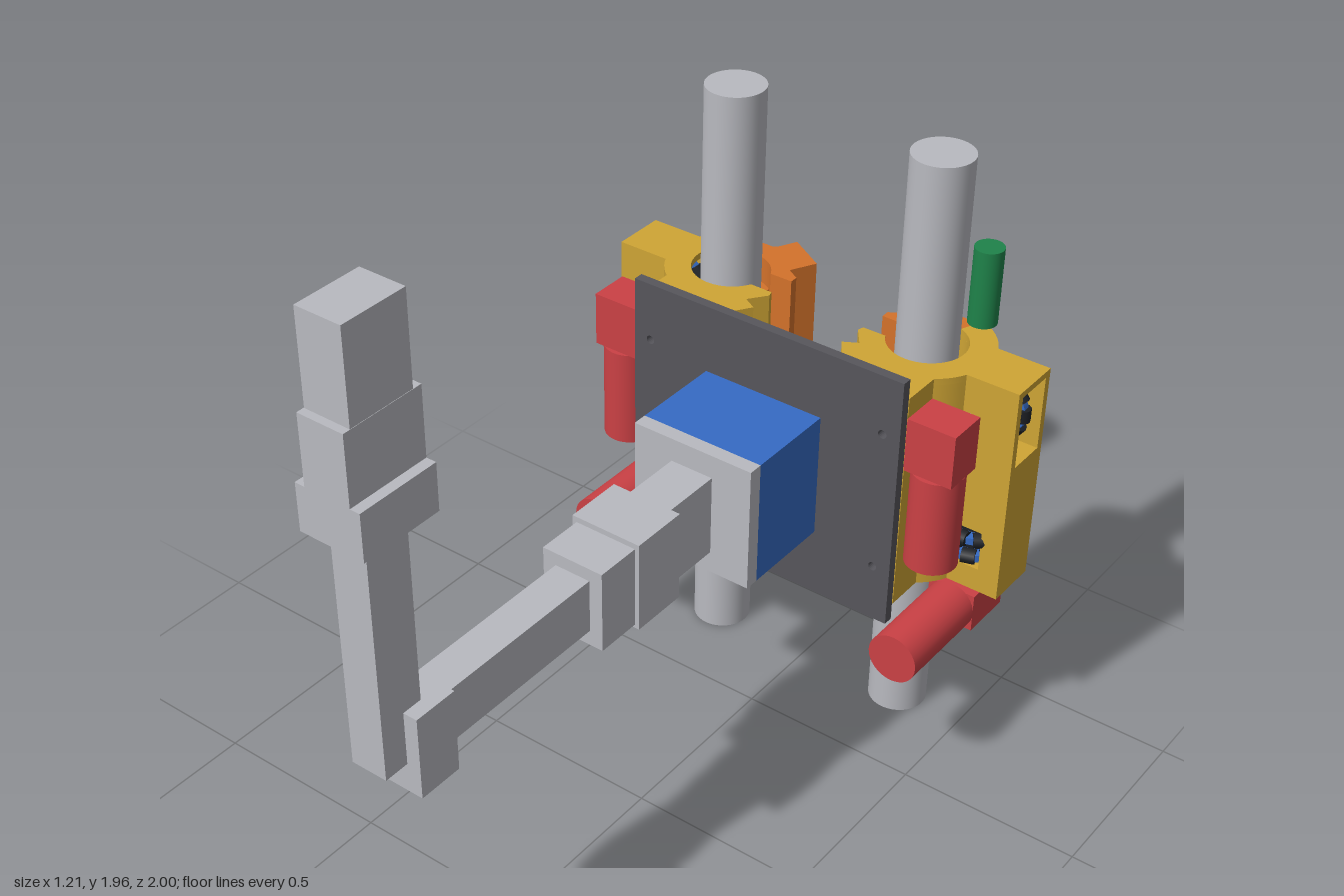
import * as THREE from 'three';
import { toCreasedNormals } from 'three/addons/utils/BufferGeometryUtils.js';

const mat = (name, color) => {
  const m = new THREE.MeshStandardMaterial({ color });
  m.name = name;
  return m;
};
const M = {
  grey: mat('lightGrey', 0xb9bac0),
  steel: mat('steel', 0x96989f),
  dark: mat('darkGrey', 0x57565c),
  blue: mat('blue', 0x366bc4),
  red: mat('red', 0xcb4145),
  yellow: mat('yellow', 0xcfa535),
  orange: mat('orange', 0xd4722b),
  green: mat('green', 0x1f834a),
  black: mat('black', 0x1e2126),
};

const POLE_X = 0.30, POLE_Z = -0.773;
const rad = THREE.MathUtils.degToRad;

function add(parent, name, geo, material, x = 0, y = 0, z = 0) {
  const mesh = new THREE.Mesh(geo, material);
  mesh.name = name;
  mesh.position.set(x, y, z);
  parent.add(mesh);
  return mesh;
}

// Box given by its limits on each axis
function box(parent, name, material, [x0, x1], [y0, y1], [z0, z1]) {
  return add(parent, name, new THREE.BoxGeometry(Math.abs(x1 - x0), y1 - y0, z1 - z0),
    material, (x0 + x1) / 2, (y0 + y1) / 2, (z0 + z1) / 2);
}

function cylinder(parent, name, material, r, length, x, y, z, axis = 'y', sides = 32) {
  const geo = new THREE.CylinderGeometry(r, r, length, sides);
  if (axis === 'z') geo.rotateX(Math.PI / 2);
  if (axis === 'x') geo.rotateZ(Math.PI / 2);
  return add(parent, name, geo, material, x, y, z);
}

// Points on an arc about the pole, angles in degrees
function arc(r, a0, a1) {
  const n = Math.max(1, Math.ceil(Math.abs(a1 - a0) / 6));
  return Array.from({ length: n + 1 }, (_, i) => {
    const a = rad(a0 + (a1 - a0) * i / n);
    return [r * Math.cos(a), r * Math.sin(a)];
  });
}

// Upright prism from a plan outline of [outward, forward] points around a pole
function prism(parent, name, material, s, outline, y0, y1) {
  const shape = new THREE.Shape(outline.map(([u, w]) => new THREE.Vector2(s * u, -w)));
  const geo = new THREE.ExtrudeGeometry(shape, { depth: y1 - y0, bevelEnabled: false });
  geo.rotateX(-Math.PI / 2);
  return add(parent, name, toCreasedNormals(geo, 0.4), material, s * POLE_X, y0, POLE_Z);
}

// Double-row roller wheel, built around the y axis
function rollerWheel(name) {
  const g = new THREE.Group();
  g.name = name;
  cylinder(g, 'wheelHub', M.black, 0.06, 0.1, 0, 0, 0, 'y', 20);
  for (const row of [-1, 1]) {
    const y = row * 0.026;
    cylinder(g, 'wheelDisc', M.blue, 0.09, 0.02, 0, y, 0, 'y', 24);
    for (let i = 0; i < 10; i++) {
      const a = (i + (row > 0 ? 0.5 : 0)) * Math.PI / 5;
      const roller = cylinder(g, 'wheelRoller', M.black, 0.021, 0.036,
        0.079 * Math.cos(a), y, 0.079 * Math.sin(a), 'x', 10);
      roller.rotation.y = Math.PI / 2 - a;
    }
  }
  return g;
}

function gripper(s) {
  const g = new THREE.Group();
  g.name = s > 0 ? 'leftGripper' : 'rightGripper';
  const R = 0.175, r = 0.105;
  const X = u => s * (POLE_X + u), Z = w => POLE_Z + w;

  // Fixed jaw in layers: solid, lower wheel slot, solid, side window, solid
  const wall = [[0.158, 0.075], [0.305, 0.075]];
  const solid = { out: 25, join: [...wall, [0.305, 0]], inn: 0 };
  const slot = { out: 39.5, join: [], inn: 39.5 };
  const windowed = { out: 25, join: [...wall, [0.305, 0.055]], inn: 31.6 };
  const layers = [[0.52, 0.588, solid], [0.588, 0.702, slot], [0.702, 0.92, solid],
    [0.92, 1.127, windowed], [1.127, 1.145, solid]];
  const jawTip = [[-0.16, 0.045], [-0.165, 0.062], [-0.128, 0.112], [-0.166, 0.134], [-0.108, 0.224],
    [-0.04, 0.187], [0.005, 0.175], [0.005, 0.25], [0.105, 0.25]];
  for (const [y0, y1, { out, join, inn }] of layers) {
    prism(g, 'fixedJawFront', M.yellow, s,
      [...jawTip, ...arc(R, 53, out), ...join, ...arc(r, inn, 155)], y0, y1);
    prism(g, 'fixedJawBack', M.yellow, s,
      [...arc(R, -69, -out), ...join.map(([u, w]) => [u, -w]), ...arc(r, -inn, -69)], y0, y1);
  }
  box(g, 'slotOuterWall', M.yellow, [X(0.245), X(0.305)], [0.588, 0.702], [Z(-0.075), Z(0.075)]);

  // Hinged jaw with its clamp plate
  prism(g, 'hingedJaw', M.orange, s, [...arc(0.165, -72, -96), [-0.03, -0.175], [-0.055, -0.225],
    [-0.161, -0.161], [-0.124, -0.09], [-0.16, -0.068], [-0.16, -0.045], ...arc(r, -155, -72)], 0.525, 1.135);
  const plate = new THREE.Group();
  plate.name = 'clampPlate';
  plate.position.set(X(-0.108), 0.83, Z(-0.193));
  plate.rotation.y = s * rad(31);
  add(plate, 'clampPlateFace', new THREE.BoxGeometry(0.07, 0.49, 0.008), M.steel, 0, 0, -0.003);
  for (const y of [-0.2, 0.2])
    cylinder(plate, 'clampBolt', M.dark, 0.009, 0.006, 0, y, -0.007, 'z', 12);
  g.add(plate);

  // Hinge knuckles and motor
  const hx = X(0.061), hz = Z(-0.162);
  for (const [y0, y1, m] of [[0.52, 0.76, M.orange], [0.76, 0.905, M.yellow], [0.905, 1.145, M.orange]])
    cylinder(g, 'hingeKnuckle', m, 0.022, y1 - y0, hx, (y0 + y1) / 2, hz);
  cylinder(g, 'hingePin', M.steel, 0.01, 0.64, hx, 0.83, hz);
  cylinder(g, 'hingeMotor', M.green, 0.039, 0.215, hx, 1.2525, hz);

  // Small grip pads inside the jaws
  for (const a of [-116, 116]) {
    const p = add(g, 'gripPad', new THREE.BoxGeometry(0.026, 0.46, 0.05), M.orange,
      X(0.1 * Math.cos(rad(a))), 0.83, Z(0.1 * Math.sin(rad(a))));
    p.rotation.y = -s * rad(a);
  }

  // Roller wheels: upper turns about z, lower about y
  const upper = rollerWheel('upperWheel');
  upper.position.set(X(0.19), 1.022, Z(0));
  upper.rotation.x = Math.PI / 2;
  const lower = rollerWheel('lowerWheel');
  lower.position.set(X(0.19), 0.645, Z(0));
  g.add(upper, lower);

  // Upper drive: upright motor, gearbox and shaft
  const mx = X(0.177), mw = [X(0.11), X(0.245)];
  cylinder(g, 'upperMotor', M.red, 0.069, 0.275, mx, 0.8075, -0.568);
  box(g, 'upperGearbox', M.red, mw, [0.945, 1.095], [-0.625, -0.512]);
  cylinder(g, 'upperShaft', M.grey, 0.014, 0.13, mx, 1.027, -0.68, 'z', 16);

  // Lower drive: lying motor, gearbox and shaft
  cylinder(g, 'lowerMotor', M.red, 0.069, 0.28, mx, 0.445, -0.555, 'z');
  box(g, 'lowerGearbox', M.red, mw, [0.39, 0.50], [-0.845, -0.695]);
  cylinder(g, 'lowerShaft', M.grey, 0.014, 0.1, mx, 0.545, POLE_Z, 'y', 16);

  // Screw heads on the housing and on the jaw tip
  cylinder(g, 'housingScrew', M.dark, 0.011, 0.006, X(0.2), 1.03, Z(-0.076), 'z', 12);
  for (const y of [0.63, 0.83, 1.03]) {
    const b = cylinder(g, 'jawScrew', M.dark, 0.009, 0.006, X(-0.137), y, Z(0.179), 'x', 12);
    b.rotation.y = s * rad(33);
  }
  return g;
}

export function createModel() {
  const model = new THREE.Group();
  model.name = 'poleClimbingRobot';

  for (const s of [1, -1]) {
    cylinder(model, 'pole', M.grey, 0.08, 1.665, s * POLE_X, 0.8325, POLE_Z, 'y', 48);
    model.add(gripper(s));
  }

  // Back plate with four screw holes
  const shape = new THREE.Shape([[-0.403, 0.47], [0.403, 0.47], [0.403, 1.2], [-0.403, 1.2]]
    .map(p => new THREE.Vector2(...p)));
  for (const x of [-0.353, 0.353]) for (const y of [0.632, 1.035])
    shape.holes.push(new THREE.Path().absarc(x, y, 0.012, 0, Math.PI * 2, true));
  add(model, 'backPlate', new THREE.ExtrudeGeometry(shape, { depth: 0.027, bevelEnabled: false, curveSegments: 10 }),
    M.dark, 0, 0, -0.523);

  // Arm base
  box(model, 'armBase', M.blue, [-0.175, 0.175], [0.66, 1.01], [-0.496, -0.24]);
  box(model, 'armBaseCover', M.grey, [-0.175, 0.175], [0.66, 1.01], [-0.24, -0.2]);

  // Arm segments: name, half width, y limits, z limits
  const arm = [
    ['shoulder', 0.061, [0.72, 0.945], [-0.2, -0.02]],
    ['shoulderCollar', 0.099, [0.71, 0.96], [-0.02, 0.138]],
    ['upperArmSocket', 0.087, [0.72, 0.945], [0.138, 0.262]],
    ['upperArm', 0.05, [0.763, 0.91], [0.262, 0.77]],
    ['elbow', 0.087, [0.72, 0.945], [0.77, 0.89]],
    ['forearm', 0.049, [0.80, 1.43], [0.835, 0.957]],
    ['wristCollar', 0.087, [1.43, 1.55], [0.78, 1.0]],
    ['wrist', 0.061, [1.55, 1.725], [0.78, 1.0]],
    ['hand', 0.06, [1.725, 1.955], [0.803, 0.98]],
  ];
  for (const [name, w, y, z] of arm) box(model, name, M.grey, [-w, w], y, z);

  return model;
}
